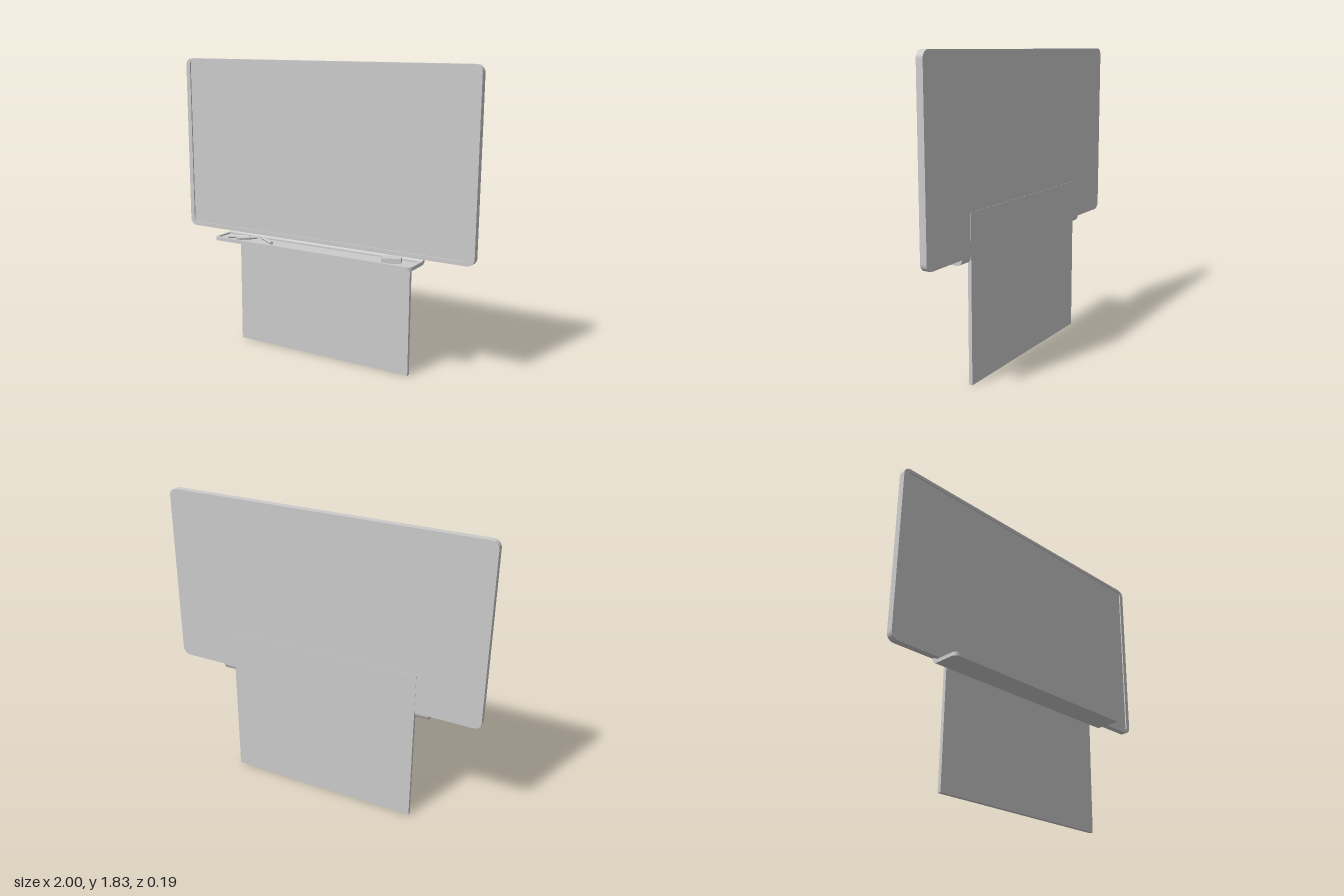
import * as THREE from 'three';
import { toCreasedNormals } from 'three/addons/utils/BufferGeometryUtils.js';

const grey = new THREE.MeshStandardMaterial({ color: 0xcccccc });

// Rectangle with separate radii for its lower and upper corners
function roundedRect(target, x0, y0, x1, y1, rLow, rHigh) {
  const q = Math.PI / 2;
  target.moveTo(x0 + rLow, y0);
  target.lineTo(x1 - rLow, y0);
  if (rLow) target.absarc(x1 - rLow, y0 + rLow, rLow, -q, 0);
  target.lineTo(x1, y1 - rHigh);
  if (rHigh) target.absarc(x1 - rHigh, y1 - rHigh, rHigh, 0, q);
  target.lineTo(x0 + rHigh, y1);
  if (rHigh) target.absarc(x0 + rHigh, y1 - rHigh, rHigh, q, 2 * q);
  target.lineTo(x0, y0 + rLow);
  if (rLow) target.absarc(x0 + rLow, y0 + rLow, rLow, 2 * q, 3 * q);
  return target;
}

function extrude(shape, depth) {
  const geometry = new THREE.ExtrudeGeometry(shape, { depth, bevelEnabled: false, curveSegments: 8 });
  return toCreasedNormals(geometry, 0.6);
}

function add(parent, name, geometry, x = 0, y = 0, z = 0) {
  const mesh = new THREE.Mesh(geometry, grey);
  mesh.name = name;
  mesh.position.set(x, y, z);
  parent.add(mesh);
  return mesh;
}

export function createModel() {
  const model = new THREE.Group();
  model.name = 'whiteboard';

  // Board: raised frame around a slightly recessed writing surface
  const frame = roundedRect(new THREE.Shape(), -1, 0.73, 1, 1.825, 0.045, 0.045);
  frame.holes.push(roundedRect(new THREE.Path(), -0.97, 0.755, 0.97, 1.805, 0.02, 0.02));
  add(model, 'boardFrame', extrude(frame, 0.041), 0, 0, -0.093);
  const panel = roundedRect(new THREE.Shape(), -0.97, 0.755, 0.97, 1.805, 0.02, 0.02);
  add(model, 'writingSurface', extrude(panel, 0.033), 0, 0, -0.093);

  // Support panel running up behind the board
  add(model, 'supportPanel', new THREE.BoxGeometry(1.21, 0.972, 0.022), 0, 0.486, -0.084);

  // Tray: floor, rim with rounded front corners, and a curved back flange
  const tray = new THREE.Group();
  tray.name = 'tray';
  model.add(tray);
  const outline = () => roundedRect(new THREE.Shape(), -0.688, -0.095, 0.688, 0.06, 0.03, 0);
  const rim = outline();
  rim.holes.push(roundedRect(new THREE.Path(), -0.672, -0.078, 0.672, 0.05, 0.018, 0));
  add(tray, 'trayFloor', extrude(outline(), 0.013).rotateX(-Math.PI / 2), 0, 0.695, 0);
  add(tray, 'trayRim', extrude(rim, 0.009).rotateX(-Math.PI / 2), 0, 0.708, 0);

  const flange = new THREE.Shape();
  flange.moveTo(0.05, 0.695);
  flange.lineTo(0.06, 0.695);
  flange.quadraticCurveTo(0.09, 0.697, 0.092, 0.732);
  flange.lineTo(0.076, 0.732);
  flange.quadraticCurveTo(0.074, 0.718, 0.05, 0.717);
  flange.closePath();
  add(tray, 'trayFlange', extrude(flange, 1.376).rotateY(Math.PI / 2), -0.688, 0, 0);

  // Markers, each given by its two ends in x and z
  const ends = [
    [-0.61, 0.048, -0.49, -0.01],
    [-0.535, 0.067, -0.44, -0.022],
    [-0.39, -0.024, -0.28, 0.045],
  ];
  ends.forEach(([x0, z0, x1, z1], i) => {
    const length = Math.hypot(x1 - x0, z1 - z0);
    const geometry = new THREE.CylinderGeometry(0.01, 0.01, length, 12).rotateZ(Math.PI / 2);
    const marker = add(tray, 'marker' + (i + 1), geometry, (x0 + x1) / 2, 0.718, (z0 + z1) / 2);
    marker.rotation.y = -Math.atan2(z1 - z0, x1 - x0);
  });

  // Eraser lying askew at the other end
  const eraser = add(tray, 'eraser', new THREE.BoxGeometry(0.112, 0.03, 0.072), 0.53, 0.723, 0.013);
  eraser.rotation.y = 0.36;

  return model;
}
